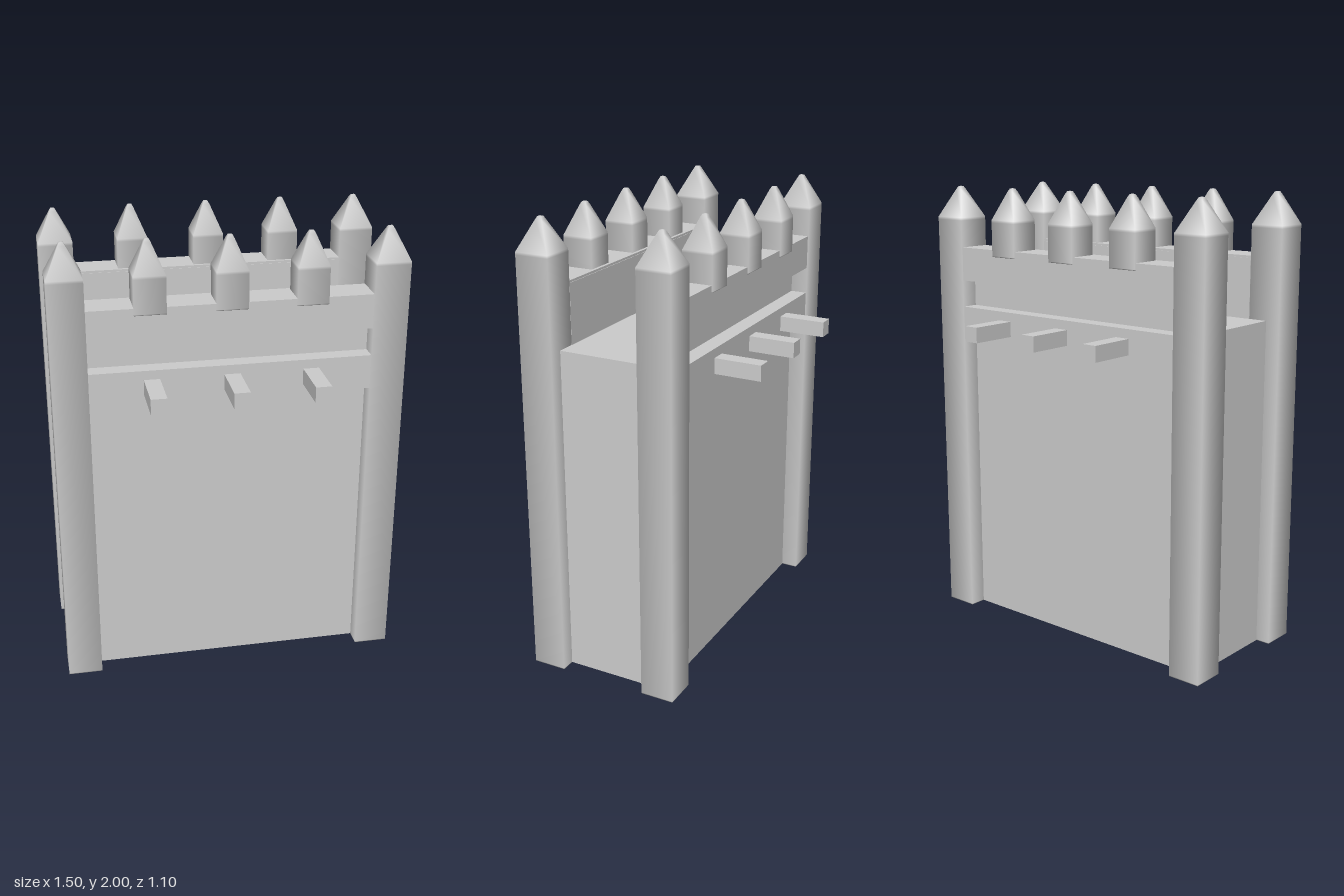
import * as THREE from 'three';

const stone = new THREE.MeshStandardMaterial({ color: 0xcccccc });
stone.name = 'plainGrey';

export function createModel() {
  const tower = new THREE.Group();
  tower.name = 'palisadeTower';

  // Box given by its centre x, bottom y, centre z and size
  function box(name, w, h, d, x, y, z) {
    const mesh = new THREE.Mesh(new THREE.BoxGeometry(w, h, d), stone);
    mesh.name = name;
    mesh.position.set(x, y + h / 2, z);
    tower.add(mesh);
  }

  // Four-sided stake with softly shaded sides and a blunt point at y = 2
  function stake(name, half, bottom, x, z) {
    const r = half * Math.SQRT2;
    const profile = [
      [0, bottom], [r, bottom], [r, bottom + 0.004], [r, 1.85], [r, 1.862],
      [0.022, 1.985], [0.012, 1.998], [0, 2],
    ].map(([px, py]) => new THREE.Vector2(px, py));
    const mesh = new THREE.Mesh(new THREE.LatheGeometry(profile, 4, Math.PI / 4), stone);
    mesh.name = name;
    mesh.position.set(x, 0, z);
    tower.add(mesh);
  }

  // Solid core with the walkway on top
  box('core', 1.37, 1.46, 0.54, 0, 0, 0);

  for (const side of [1, -1]) {
    // Parapet wall and its two rails
    box('parapet', 1.2, 0.26, 0.075, 0, 1.46, side * 0.2325);
    box('lowerRail', 1.2, 0.15, 0.145, 0, 1.31, side * 0.27);
    box('upperRail', 1.2, 0.15, 0.145, 0, 1.58, side * 0.27);

    // Corner posts
    for (const x of [-0.675, 0.675]) stake('cornerPost', 0.075, 0, x, side * 0.271);

    // Short stakes on the parapet and beam ends below them
    for (const x of [-0.338, 0, 0.338]) {
      stake('parapetStake', 0.067, 1.7, x, side * 0.279);
      box('beamEnd', 0.068, 0.068, 0.25, x, 1.352, side * 0.425);
    }
  }
  return tower;
}
